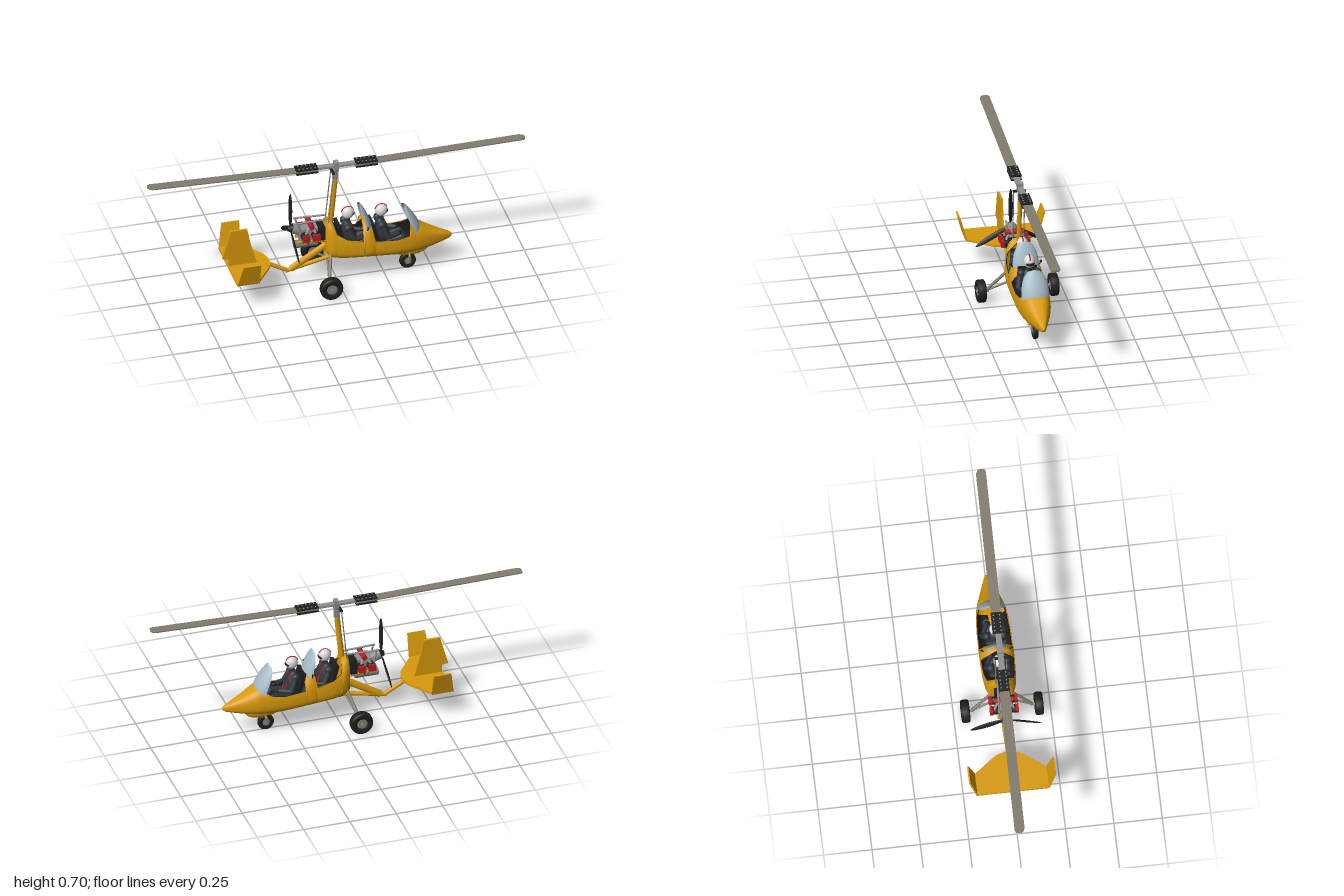
import * as THREE from 'three';

const mat = (name, color, side = THREE.FrontSide) => {
  const m = new THREE.MeshStandardMaterial({ color, side });
  m.name = name;
  return m;
};
const V = (p) => new THREE.Vector3(...p);

export function createModel() {
  const yellow = mat('yellow paint', 0xd99a0c, THREE.DoubleSide);
  const glass = mat('windscreen blue', 0xa6bcc8, THREE.DoubleSide);
  const black = mat('black', 0x1f1f20, THREE.DoubleSide);
  const suit = mat('dark suit', 0x30373d);
  const metal = mat('grey metal', 0x8e9092);
  const strutGrey = mat('strut grey', 0x878073);
  const bladeGrey = mat('blade grey', 0x827c6f);
  const red = mat('red', 0xb5201f);
  const white = mat('helmet white', 0xdedede);

  const model = new THREE.Group();
  model.name = 'gyrocopter';
  const add = (name, geo, m, pos = [0, 0, 0], parent = model) => {
    const mesh = new THREE.Mesh(geo, m);
    mesh.name = name;
    mesh.position.set(...pos);
    parent.add(mesh);
    return mesh;
  };
  const box = (name, size, pos, m, parent) => add(name, new THREE.BoxGeometry(...size), m, pos, parent);
  const ball = (name, size, pos, m, parent) =>
    add(name, new THREE.SphereGeometry(1, 24, 16).scale(...size), m, pos, parent);
  // Round rod, or a flattened one, between two points
  const rod = (name, a, b, r, m, parent, flat = 1, r2 = r) => {
    const A = V(a), B = V(b), d = B.clone().sub(A);
    const geo = new THREE.CylinderGeometry(r2, r, d.length(), 14).scale(1, 1, flat);
    const mesh = add(name, geo, m, A.clone().add(B).multiplyScalar(0.5).toArray(), parent);
    mesh.quaternion.setFromUnitVectors(new THREE.Vector3(0, 1, 0), d.normalize());
    return mesh;
  };
  const plate = (pts, t) => new THREE.ExtrudeGeometry(new THREE.Shape(pts.map((p) => new THREE.Vector2(...p))),
    { depth: t, bevelEnabled: false }).translate(0, 0, -t / 2);
  // Indexed surface from a grid of points
  const grid = (rows) => {
    const n = rows[0].length, idx = [];
    for (let i = 0; i < rows.length - 1; i++) for (let j = 0; j < n - 1; j++) {
      const a = i * n + j, b = a + n;
      idx.push(a, b, a + 1, b, b + 1, a + 1);
    }
    const g = new THREE.BufferGeometry();
    g.setAttribute('position', new THREE.Float32BufferAttribute(rows.flat(2), 3));
    g.setIndex(idx);
    g.computeVertexNormals();
    return g;
  };

  // Fuselage: x, widest height, bottom, top, half width, rim height (open where rim < top)
  const stations = [
    [-0.062, 0.25, 0.245, 0.255, 0.002, 0.255], [-0.06, 0.25, 0.17, 0.36, 0.05, 0.36],
    [-0.045, 0.23, 0.152, 0.365, 0.068, 0.365], [-0.025, 0.22, 0.146, 0.355, 0.076, 0.355],
    [-0.01, 0.21, 0.144, 0.35, 0.08, 0.3], [0.04, 0.2, 0.138, 0.34, 0.086, 0.265],
    [0.125, 0.195, 0.132, 0.34, 0.09, 0.25], [0.137, 0.195, 0.131, 0.335, 0.09, 0.335],
    [0.178, 0.195, 0.127, 0.315, 0.09, 0.315], [0.19, 0.195, 0.126, 0.31, 0.09, 0.238],
    [0.3, 0.19, 0.116, 0.3, 0.088, 0.225], [0.37, 0.188, 0.114, 0.29, 0.083, 0.235],
    [0.402, 0.187, 0.115, 0.285, 0.078, 0.255], [0.412, 0.186, 0.115, 0.282, 0.077, 0.282],
    [0.45, 0.182, 0.118, 0.257, 0.067, 0.257], [0.5, 0.176, 0.124, 0.228, 0.05, 0.228],
    [0.56, 0.17, 0.136, 0.198, 0.029, 0.198], [0.6, 0.165, 0.146, 0.181, 0.014, 0.181],
    [0.612, 0.163, 0.154, 0.172, 0.007, 0.172], [0.615, 0.163, 0.162, 0.164, 0.001, 0.164]];
  const skin = (list, inset) => grid(list.map(([x, yc, yb, yt, w, rim]) => {
    const A = Math.asin(Math.min(1, ((rim - yc) / (yt - yc)) ** 1.25));
    return Array.from({ length: 41 }, (_, i) => {
      const a = A - (i / 40) * (Math.PI + 2 * A), c = Math.cos(a), s = Math.sin(a);
      const y = s >= 0 ? yc + (yt - yc - inset) * s ** 0.8 : yc - (yc - yb - inset) * (-s) ** 0.7;
      return [x, y, (w - inset) * Math.sign(c) * Math.abs(c) ** 0.7];
    });
  }));
  add('fuselage', skin(stations, 0), yellow);
  add('cockpitLiner', skin(stations.slice(3, 14), 0.005), black);

  // Curved windscreens: base centre, edge and top
  const screen = (name, xBase, yBase, yEdge, xTop, yTop, w, depth) => {
    const rows = [];
    for (let i = 0; i <= 14; i++) {
      const v = i / 14, k = Math.sqrt(1 - v ** 2.4), row = [];
      for (let j = 0; j <= 20; j++) {
        const u = (j / 10 - 1) * 1.45, c = 1 - Math.cos(u);
        const y0 = yBase + (yEdge - yBase) * c;
        row.push([xBase + (xTop - xBase) * v ** 1.3 - depth * c * k, y0 + (yTop - y0) * v, w * Math.sin(u) * k]);
      }
      rows.push(row);
    }
    add(name, grid(rows), glass);
  };
  screen('frontWindscreen', 0.442, 0.26, 0.235, 0.365, 0.385, 0.074, 0.045);
  screen('rearWindscreen', 0.182, 0.31, 0.26, 0.128, 0.432, 0.071, 0.03);

  // Two seated people with seats
  const person = (name, x, lift) => {
    const g = new THREE.Group();
    g.name = name;
    g.position.set(x, lift, 0);
    model.add(g);
    const seat = box('seatBack', [0.018, 0.17, 0.1], [-0.035, 0.235, 0], black, g);
    seat.rotation.z = 0.25;
    box('seatBase', [0.1, 0.025, 0.1], [0.03, 0.16, 0], black, g);
    const torso = ball('torso', [0.034, 0.08, 0.05], [0.005, 0.25, 0], suit, g);
    torso.rotation.z = 0.22;
    rod('neck', [-0.006, 0.31, 0], [0, 0.35, 0], 0.014, suit, g);
    ball('helmet', [0.033, 0.035, 0.029], [0, 0.372, 0], white, g);
    ball('visor', [0.02, 0.014, 0.023], [0.016, 0.368, 0], black, g);
    add('helmetStripe', new THREE.TorusGeometry(0.0325, 0.004, 8, 24, 2.4), red, [0, 0.373, 0], g).rotation.z = 0.5;
    for (const s of [1, -1]) {
      ball('shoulder', [0.022, 0.022, 0.02], [-0.008, 0.303, s * 0.043], suit, g);
      rod('upperArm', [-0.008, 0.303, s * 0.046], [0.02, 0.235, s * 0.062], 0.015, suit, g);
      rod('forearm', [0.02, 0.235, s * 0.062], [0.08, 0.235, s * 0.035], 0.012, suit, g);
      ball('glove', [0.014, 0.012, 0.012], [0.085, 0.236, s * 0.033], black, g);
      rod('thigh', [0.015, 0.19, s * 0.024], [0.1, 0.215, s * 0.035], 0.02, suit, g);
      rod('shin', [0.1, 0.215, s * 0.035], [0.145, 0.15, s * 0.03], 0.015, suit, g);
      rod('harness', [0.012, 0.312, s * 0.022], [0.045, 0.22, s * 0.012], 0.005, red, g);
    }
  };
  person('frontPerson', 0.24, 0);
  person('rearPerson', 0.062, 0.012);

  // Mast, control rods and rotor head
  rod('mast', [-0.05, 0.16, 0], [-0.005, 0.595, 0], 0.017, yellow, model, 0.8, 0.014);
  rod('mastTop', [-0.006, 0.585, 0], [0, 0.665, 0], 0.01, metal);
  box('headBlock', [0.03, 0.05, 0.018], [-0.004, 0.625, 0], metal);
  box('controlYoke', [0.014, 0.008, 0.066], [-0.02, 0.648, 0], black);
  add('headBearing', new THREE.CylinderGeometry(0.018, 0.014, 0.016, 20), metal, [0, 0.657, 0]);
  for (const s of [1, -1]) rod('controlRod', [-0.06, 0.24, s * 0.029], [-0.02, 0.65, s * 0.029], 0.003, strutGrey);

  const rotor = new THREE.Group();
  rotor.name = 'rotor';
  rotor.rotation.y = -0.014;
  model.add(rotor);
  box('hubBar', [0.24, 0.012, 0.03], [0, 0.68, 0], metal, rotor);
  box('teeterTower', [0.024, 0.042, 0.034], [0, 0.682, 0], metal, rotor);
  const bladePts = [[0.1, -0.026], [0.975, -0.026], [0.995, -0.016], [1, 0], [0.995, 0.02], [0.985, 0.026], [0.1, 0.026]];
  for (const s of [0, 1]) {
    const half = new THREE.Group();
    half.name = 'rotorHalf';
    half.rotation.y = s * Math.PI;
    rotor.add(half);
    const blade = add('rotorBlade', plate(bladePts, 0.006).rotateX(Math.PI / 2), bladeGrey, [0, 0.675, 0], half);
    blade.rotation.z = 0.024;
    for (const y of [0.67, 0.69]) box('bladeGrip', [0.115, 0.007, 0.056], [0.158, y - 0.001, 0], black, half);
    for (let i = 0; i < 5; i++) for (const z of [-0.016, 0.016])
      add('gripBolt', new THREE.CylinderGeometry(0.004, 0.004, 0.032, 8), metal, [0.115 + i * 0.021, 0.679, z], half);
  }

  // Keel, tail boom and braces
  rod('rearBrace', [-0.24, 0.09, 0], [-0.04, 0.215, 0], 0.019, yellow, model, 0.7);
  rod('keel', [-0.27, 0.083, 0], [0.02, 0.145, 0], 0.011, yellow);
  rod('tailBoom', [-0.255, 0.083, 0], [-0.39, 0.158, 0], 0.011, yellow);

  // Tail surfaces
  const stab = [[-0.575, -0.188], [-0.46, -0.188], [-0.37, -0.065], [-0.355, -0.02], [-0.355, 0.02],
    [-0.37, 0.065], [-0.46, 0.188], [-0.575, 0.188]];
  add('tailplane', plate(stab, 0.012).rotateX(Math.PI / 2), yellow, [0, 0.158, 0]);
  add('centreFin', plate([[-0.57, 0.16], [-0.57, 0.205], [-0.605, 0.21], [-0.56, 0.37], [-0.473, 0.37],
    [-0.455, 0.28], [-0.42, 0.16]], 0.012), yellow);
  for (const s of [1, -1]) {
    const fin = add('outerFin', plate([[-0.573, 0], [-0.455, 0], [-0.457, 0.135], [-0.55, 0.135]], 0.008), yellow,
      [0, 0.154, s * 0.186]);
    fin.rotation.x = s * 0.265;
  }
  rod('tailSkid', [-0.5, 0.155, 0], [-0.508, 0.112, 0], 0.004, black);

  // Engine
  const engine = new THREE.Group();
  engine.name = 'engine';
  model.add(engine);
  box('crankcase', [0.11, 0.07, 0.06], [-0.145, 0.3, 0], metal, engine);
  rod('gearbox', [-0.19, 0.32, 0], [-0.235, 0.335, 0], 0.028, metal, engine);
  for (const s of [1, -1]) for (const x of [-0.175, -0.12]) {
    rod('cylinder', [x, 0.3, s * 0.025], [x, 0.3, s * 0.06], 0.021, black, engine);
    box('cylinderHead', [0.038, 0.036, 0.018], [x, 0.3, s * 0.066], red, engine);
    rod('exhaustPipe', [x, 0.29, s * 0.055], [-0.15, 0.238, s * 0.03], 0.006, strutGrey, engine);
    rod('intakePipe', [x, 0.315, s * 0.05], [-0.14, 0.352, s * 0.025], 0.007, metal, engine);
  }
  rod('muffler', [-0.225, 0.235, 0], [-0.1, 0.235, 0], 0.021, strutGrey, engine);
  rod('airFilter', [-0.14, 0.352, -0.05], [-0.14, 0.352, 0.05], 0.014, red, engine);
  box('coolingUnit', [0.035, 0.08, 0.08], [-0.085, 0.3, 0], black, engine);
  for (const s of [1, -1]) {
    rod('upperMount', [-0.22, 0.375, s * 0.03], [-0.045, 0.375, s * 0.02], 0.005, metal, engine);
    rod('mountPost', [-0.21, 0.375, s * 0.03], [-0.195, 0.31, s * 0.03], 0.005, metal, engine);
    rod('lowerMount', [-0.21, 0.265, s * 0.03], [-0.05, 0.25, s * 0.03], 0.007, yellow, engine);
  }

  // Three-blade propeller
  rod('propellerHub', [-0.228, 0.335, 0], [-0.258, 0.335, 0], 0.022, black, model, 1, 0.014);
  for (let i = 0; i < 3; i++) {
    const arm = new THREE.Group();
    arm.name = 'propellerArm';
    arm.position.set(-0.243, 0.335, 0);
    arm.rotation.x = (i * Math.PI * 2) / 3;
    model.add(arm);
    ball('propellerBlade', [0.005, 0.102, 0.014], [0, 0.109, 0], black, arm).rotation.y = 0.5;
  }

  // Wheels with rounded tyres
  const wheel = (name, x, z, r, w) => {
    const g = new THREE.Group();
    g.name = name;
    g.position.set(x, r, z);
    g.rotation.x = Math.PI / 2;
    model.add(g);
    const h = w / 2;
    const prof = [[0.45, -0.7], [0.6, -0.95], [0.85, -1], [0.96, -0.85], [1, -0.5], [1, 0.5], [0.96, 0.85],
      [0.85, 1], [0.6, 0.95], [0.45, 0.7]].map(([a, b]) => new THREE.Vector2(a * r, b * h));
    add('tyre', new THREE.LatheGeometry(prof, 36), black, [0, 0, 0], g);
    add('rim', new THREE.CylinderGeometry(r * 0.46, r * 0.46, w * 0.75, 24), strutGrey, [0, 0, 0], g);
    add('axleCap', new THREE.CylinderGeometry(r * 0.13, r * 0.13, w * 1.15, 12), metal, [0, 0, 0], g);
  };
  for (const s of [1, -1]) {
    wheel('mainWheel', -0.075, s * 0.19, 0.06, 0.044);
    rod('axle', [-0.075, 0.06, s * 0.15], [-0.075, 0.06, s * 0.19], 0.006, metal);
    rod('axleFitting', [-0.075, 0.055, s * 0.154], [-0.075, 0.08, s * 0.154], 0.007, strutGrey);
    rod('upperStrut', [-0.075, 0.07, s * 0.155], [-0.035, 0.21, s * 0.03], 0.008, strutGrey);
    rod('lowerStrut', [-0.075, 0.065, s * 0.153], [-0.05, 0.125, s * 0.02], 0.006, strutGrey);
    rod('noseFork', [0.38, 0.043, s * 0.017], [0.39, 0.1, s * 0.015], 0.004, metal);
    rod('mirrorArm', [0.15, 0.29, s * 0.062], [0.15, 0.318, s * 0.078], 0.003, black);
    ball('mirror', [0.004, 0.008, 0.007], [0.15, 0.32, s * 0.078], black);
  }

  // Nose wheel, its fairing and foot peg
  wheel('noseWheel', 0.38, 0, 0.043, 0.025);
  ball('noseFairing', [0.095, 0.038, 0.02], [0.395, 0.112, 0], yellow);
  rod('footPeg', [0.385, 0.085, -0.04], [0.385, 0.085, 0.04], 0.004, yellow);

  return model;
}
